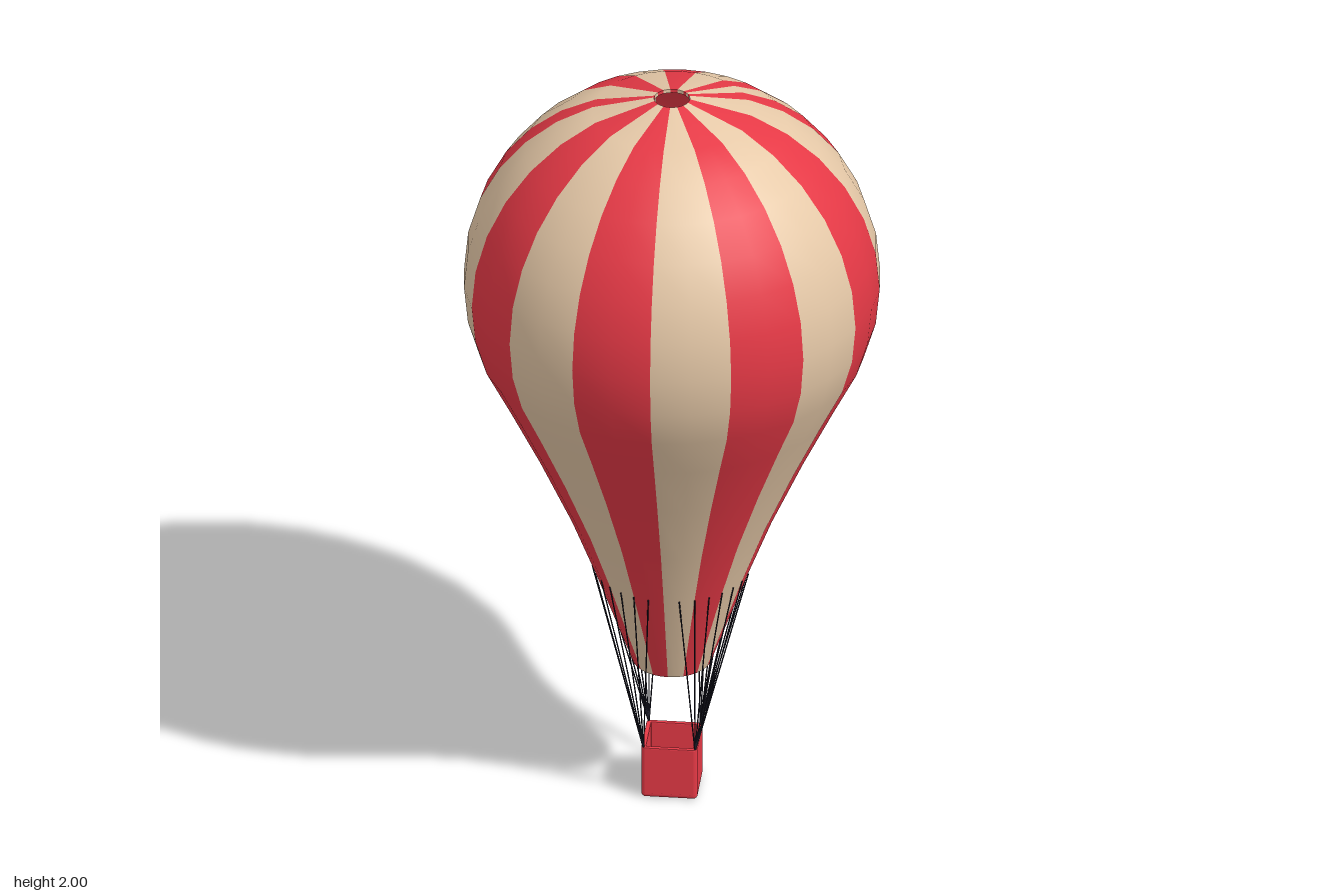
import * as THREE from 'three';
import { mergeGeometries } from 'three/addons/utils/BufferGeometryUtils.js';
import { RoundedBoxGeometry } from 'three/addons/geometries/RoundedBoxGeometry.js';

const paint = (color) => new THREE.MeshStandardMaterial({ color });
const red = paint(0xe63946);
const cream = paint(0xe6c9a8);
const cord = paint(0x1d1d2b);

const STEP = Math.PI / 16; // the envelope has 32 sides
const CENTRE_Y = 1.478;
const RADIUS = 0.525;
const HOLE = 0.045;
const SKIN = 0.01;

function add(parent, name, geometry, material) {
  const mesh = new THREE.Mesh(geometry, material);
  mesh.name = name;
  parent.add(mesh);
  return mesh;
}

// Envelope profile from mouth to crown: tapering neck, then a sphere with a vent hole
function envelopeProfile(inset) {
  const neck = [[0.1, 0.372], [0.2, 0.65], [0.262, 0.81], [0.345, 0.995], [0.423, 1.155]];
  const points = neck.map(([r, y]) => new THREE.Vector2(r - inset, y));
  const R = RADIUS - inset;
  const top = Math.acos(HOLE / R);
  for (let k = -2; k <= 7; k++) {
    const a = k === 7 ? top : k * STEP;
    points.push(new THREE.Vector2(R * Math.cos(a), CENTRE_Y + R * Math.sin(a)));
  }
  return points;
}

// Striped envelope: gores of uneven width, alternating red and cream
function buildEnvelope() {
  const group = new THREE.Group();
  group.name = 'envelope';
  const outer = envelopeProfile(0);
  const inner = envelopeProfile(SKIN).reverse();
  const profiles = [
    outer,
    inner,
    [inner.at(-1), outer[0]], // mouth rim
    [outer.at(-1), inner[0]], // vent rim
  ];
  const seams = [0, 2, 4, 6, 8, 10, 12, 14, 16, 17, 19, 21, 23, 25, 27, 28, 29, 30, 32];
  for (let i = 0; i < seams.length - 1; i++) {
    const width = seams[i + 1] - seams[i];
    const start = Math.PI / 2 - seams[i + 1] * STEP;
    const shells = profiles.map((p) => new THREE.LatheGeometry(p, width, start, width * STEP));
    add(group, i % 2 ? 'creamGore' : 'redGore', mergeGeometries(shells), i % 2 ? cream : red);
  }
  return group;
}

// Open basket: rounded floor and a rounded square ring of walls
function buildBasket() {
  const group = new THREE.Group();
  group.name = 'basket';
  const floor = add(group, 'basketFloor', new RoundedBoxGeometry(0.142, 0.024, 0.142, 3, 0.011), red);
  floor.position.y = 0.012;

  const square = (path, h, r) => {
    path.moveTo(h, -h + r);
    path.lineTo(h, h - r);
    path.absarc(h - r, h - r, r, 0, Math.PI / 2);
    path.absarc(-h + r, h - r, r, Math.PI / 2, Math.PI);
    path.absarc(-h + r, -h + r, r, Math.PI, Math.PI * 1.5);
    path.absarc(h - r, -h + r, r, Math.PI * 1.5, Math.PI * 2);
    return path;
  };
  const shape = square(new THREE.Shape(), 0.068, 0.008);
  shape.holes.push(square(new THREE.Path(), 0.062, 0.004));
  const walls = new THREE.ExtrudeGeometry(shape, {
    depth: 0.128, bevelSize: 0.003, bevelThickness: 0.003, bevelSegments: 2, curveSegments: 4,
  });
  walls.rotateX(-Math.PI / 2).translate(0, 0.014, 0);
  add(group, 'basketWalls', walls, red);
  return group;
}

// A thin rope between two points
function rope(from, to) {
  const dir = to.clone().sub(from);
  const geometry = new THREE.CylinderGeometry(0.0018, 0.0018, dir.length(), 5);
  geometry.applyQuaternion(
    new THREE.Quaternion().setFromUnitVectors(new THREE.Vector3(0, 1, 0), dir.normalize()));
  const mid = from.clone().add(to).multiplyScalar(0.5);
  return geometry.translate(mid.x, mid.y, mid.z);
}

// Seven ropes fan out from each basket corner to the neck
function buildRopes() {
  const group = new THREE.Group();
  group.name = 'ropes';
  for (let c = 0; c < 4; c++) {
    const mid = Math.PI / 4 + c * Math.PI / 2;
    const corner = new THREE.Vector3(0.092 * Math.cos(mid), 0.14, 0.092 * Math.sin(mid));
    const fan = [];
    for (let k = -3; k <= 3; k++) {
      const a = mid + k * STEP;
      fan.push(rope(corner, new THREE.Vector3(0.201 * Math.cos(a), 0.65, 0.201 * Math.sin(a))));
    }
    add(group, 'cornerRopes', mergeGeometries(fan), cord);
  }
  return group;
}

export function createModel() {
  const model = new THREE.Group();
  model.name = 'hotAirBalloon';
  model.add(buildEnvelope(), buildBasket(), buildRopes());
  return model;
}
